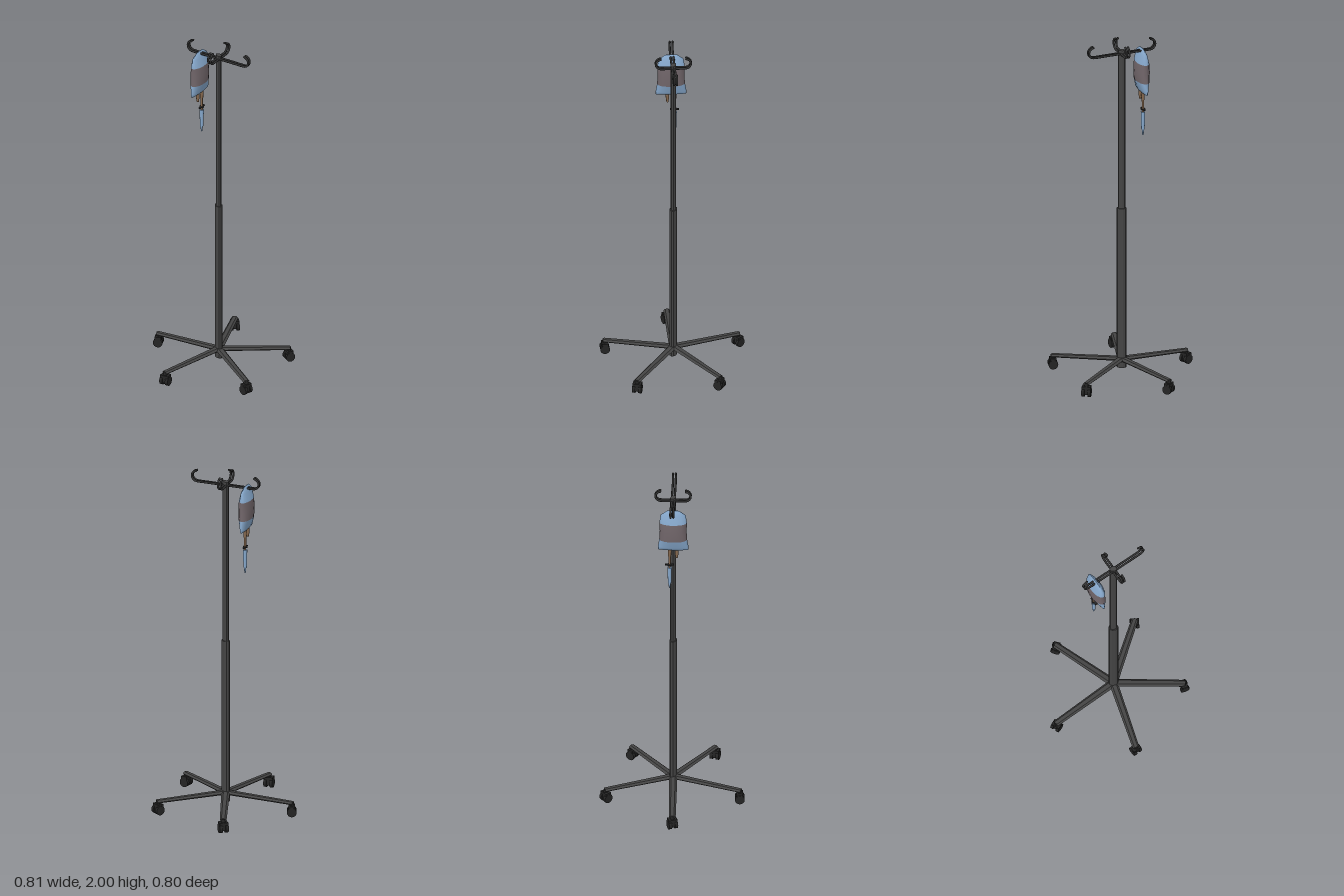
import * as THREE from 'three';

const mat = (name, color) => {
  const m = new THREE.MeshStandardMaterial({ color });
  m.name = name;
  return m;
};

// faceted copy of a geometry
function flat(geo) {
  const g = geo.index ? geo.toNonIndexed() : geo;
  g.computeVertexNormals();
  return g;
}

// skin over elliptical rows [y, halfWidth, halfDepth], listed top to bottom
function loft(rows, n = 14) {
  const pos = [], idx = [];
  rows.forEach(([y, w, d]) => {
    for (let j = 0; j < n; j++) {
      const a = (j / n) * Math.PI * 2;
      pos.push(w * Math.cos(a), y, d * Math.sin(a));
    }
  });
  for (let i = 0; i < rows.length - 1; i++) {
    for (let j = 0; j < n; j++) {
      const a = i * n + j, b = i * n + ((j + 1) % n);
      idx.push(a, b, a + n, b, b + n, a + n);
    }
  }
  const g = new THREE.BufferGeometry();
  g.setAttribute('position', new THREE.Float32BufferAttribute(pos, 3));
  g.setIndex(idx);
  g.computeVertexNormals();
  return g;
}

export function createModel() {
  const metal = mat('dark grey metal', 0x444444);
  const hookMetal = mat('hook metal', 0x303030);
  const rubber = mat('black rubber', 0x242424);
  const blue = mat('pale blue plastic', 0x86a8cc);
  const label = mat('grey brown label', 0x71666a);
  const amber = mat('brown port', 0x86694f);

  const model = new THREE.Group();
  model.name = 'dripStand';
  const stand = new THREE.Group();
  stand.name = 'stand';
  stand.position.set(0.014, 0, -0.027);
  model.add(stand);

  const add = (parent, name, geo, material, x = 0, y = 0, z = 0) => {
    const m = new THREE.Mesh(geo, material);
    m.name = name;
    m.position.set(x, y, z);
    parent.add(m);
    return m;
  };

  // telescopic pole with an oval, faceted section
  const pole = (name, y0, y1, rx, rz) => {
    const g = new THREE.CylinderGeometry(1, 1, y1 - y0, 10);
    g.scale(rx, 1, rz);
    add(stand, name, flat(g), metal, 0, (y0 + y1) / 2, 0);
  };
  pole('lowerPole', 0.04, 1.0, 0.02, 0.028);
  pole('upperPole', 0.98, 1.953, 0.0145, 0.0215);

  // five legs, each carrying a twin-wheel caster
  const legLength = 0.4;
  const legGeo = new THREE.CylinderGeometry(0.019, 0.024, legLength, 6);
  legGeo.rotateZ(-Math.PI / 2);
  legGeo.scale(1, 0.55, 1);
  legGeo.translate(legLength / 2, 0, 0);
  legGeo.rotateZ(-0.035);
  const legFlat = flat(legGeo);

  const wheelGeo = new THREE.CylinderGeometry(0.027, 0.027, 0.017, 16).rotateX(Math.PI / 2);
  const hubGeo = new THREE.CylinderGeometry(0.012, 0.012, 0.05, 10).rotateX(Math.PI / 2);
  const hoodGeo = new THREE.CylinderGeometry(0.031, 0.031, 0.05, 10, 1, false, -0.4, Math.PI * 0.75);
  hoodGeo.rotateX(Math.PI / 2);
  const stemGeo = new THREE.CylinderGeometry(0.012, 0.014, 0.034, 10);

  for (let k = 0; k < 5; k++) {
    const arm = new THREE.Group();
    arm.name = 'baseArm' + (k + 1);
    arm.rotation.y = -THREE.MathUtils.degToRad(24.5 + 72 * k);
    stand.add(arm);
    add(arm, 'leg', legFlat, metal, 0, 0.09, 0);

    const caster = new THREE.Group();
    caster.name = 'caster';
    caster.position.set(0.393, 0, 0);
    caster.rotation.y = THREE.MathUtils.degToRad(20);
    arm.add(caster);
    for (const s of [-1, 1]) add(caster, 'wheel', wheelGeo, rubber, 0, 0.027, s * 0.0175);
    add(caster, 'axle', hubGeo, rubber, 0, 0.027, 0);
    add(caster, 'hood', new THREE.BoxGeometry(0.036, 0.02, 0.05), rubber, 0, 0.053, 0);
    add(caster, 'stem', stemGeo, rubber, 0, 0.066, 0);
    add(caster, 'housing', new THREE.BoxGeometry(0.034, 0.04, 0.019), rubber, 0, 0.035, 0);
  }

  // four hooks, each a pair of wires curling upward
  const hookAngles = [[62, 0.206], [152, 0.104], [242, 0.206], [332, 0.104]];
  hookAngles.forEach(([deg, reach], i) => {
    const hook = new THREE.Group();
    hook.name = 'hook' + (i + 1);
    hook.rotation.y = -THREE.MathUtils.degToRad(deg);
    stand.add(hook);
    const cx = reach - 0.037, pts = [new THREE.Vector3(0, 1.932, 0), new THREE.Vector3(cx * 0.6, 1.932, 0)];
    for (let a = -90; a <= 80; a += 17) {
      const t = THREE.MathUtils.degToRad(a);
      pts.push(new THREE.Vector3(cx + 0.031 * Math.cos(t), 1.963 + 0.031 * Math.sin(t), 0));
    }
    const tube = new THREE.TubeGeometry(new THREE.CatmullRomCurve3(pts), 30, 0.0063, 8);
    const tip = pts[pts.length - 1];
    for (const s of [-1, 1]) {
      add(hook, 'hookWire', tube, hookMetal, 0, 0, s * 0.0078);
      add(hook, 'hookTip', new THREE.SphereGeometry(0.0065, 8, 6), hookMetal, tip.x, tip.y, s * 0.0078);
    }
  });

  // fluid bag hanging across one long hook
  const bag = new THREE.Group();
  bag.name = 'fluidBag';
  bag.position.set(-0.048, 0, -0.133);
  bag.rotation.y = THREE.MathUtils.degToRad(28);
  model.add(bag);
  const rows = [
    [1.943, 0.03, 0], [1.941, 0.036, 0.007], [1.915, 0.07, 0.02], [1.864, 0.077, 0.034],
    [1.81, 0.075, 0.039], [1.752, 0.078, 0.035], [1.705, 0.086, 0.021], [1.686, 0.086, 0.011], [1.683, 0.08, 0],
  ];
  add(bag, 'bagTop', loft(rows.slice(0, 4)), blue);
  add(bag, 'bagLabel', loft(rows.slice(3, 6)), label);
  add(bag, 'bagBottom', loft(rows.slice(5)), blue);

  // ports, clip and drip chamber below the bag
  const rod = (name, x, y0, y1, r0, r1, m) =>
    add(bag, name, new THREE.CylinderGeometry(r1, r0, y1 - y0, 12), m, x, (y0 + y1) / 2, 0);
  rod('sidePort', -0.02, 1.65, 1.7, 0.009, 0.011, amber);
  rod('sidePortCap', -0.02, 1.632, 1.652, 0.006, 0.008, amber);
  rod('mainPort', 0.02, 1.64, 1.7, 0.009, 0.011, amber);
  rod('spike', 0.02, 1.56, 1.645, 0.006, 0.007, amber);
  rod('spikeCollar', 0.02, 1.579, 1.586, 0.013, 0.013, rubber);
  add(bag, 'spikeWings', new THREE.BoxGeometry(0.05, 0.006, 0.012), rubber, 0.02, 1.583, 0);
  rod('dripChamber', 0.02, 1.46, 1.565, 0.0095, 0.0125, blue);
  rod('dripOutlet', 0.02, 1.428, 1.461, 0.004, 0.007, blue);

  return model;
}
